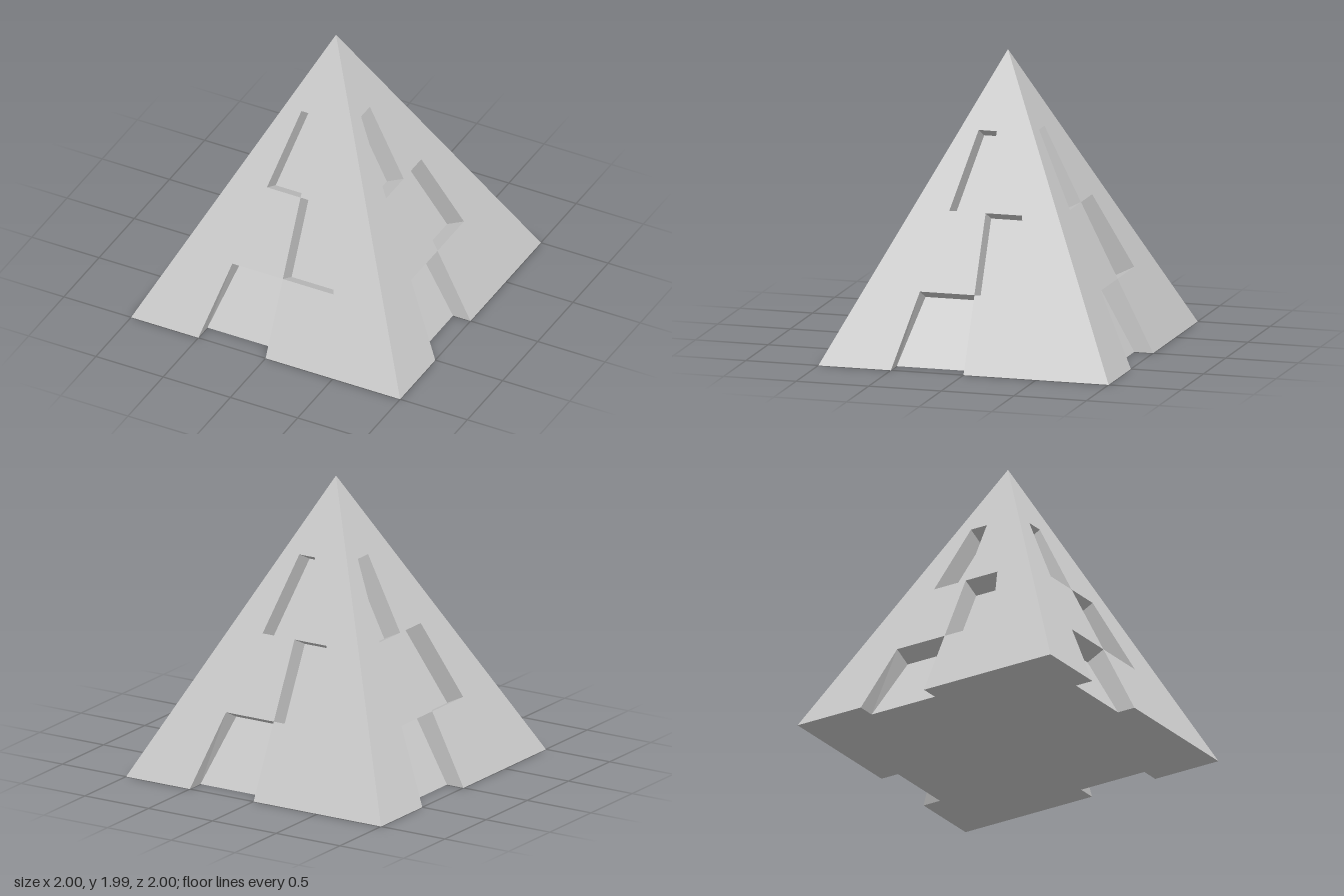
import * as THREE from 'three';
import { mergeVertices } from 'three/addons/utils/BufferGeometryUtils.js';

const H = 1.987;                 // apex height
const L1 = 0.487, L2 = 0.987, L3 = 1.487; // step levels of the recesses
const NOTCH = 0.87;              // distance of the notch floor from the centre at the base

const material = new THREE.MeshStandardMaterial({ color: 0xcccccc, flatShading: true });

// Point on the sloping front face
const onFace = ([x, y]) => [x, y, 1 - y / H];

// The same point pushed in square to the face (base points stay on the ground)
const inside = ([x, y]) => {
  const z = 1 - y / H;
  return y === 0 ? [x, 0, NOTCH] : [x, y - 0.0625, z - 0.125];
};

const flatShape = (points) =>
  new THREE.ShapeGeometry(new THREE.Shape(points.map(([x, y]) => new THREE.Vector2(x, y))));

function part(name, geometry) {
  const mesh = new THREE.Mesh(geometry, material);
  mesh.name = name;
  return mesh;
}

// Flat outline laid onto the sloping face
function skin(name, points) {
  const geometry = flatShape(points);
  const pos = geometry.attributes.position;
  for (let i = 0; i < pos.count; i++) pos.setXYZ(i, ...onFace([pos.getX(i), pos.getY(i)]));
  geometry.deleteAttribute('uv');
  geometry.deleteAttribute('normal');
  const merged = mergeVertices(geometry);
  merged.computeVertexNormals();
  return part(name, merged);
}

// Floor and side walls of a recess; corners run counter-clockwise
function recess(name, corners) {
  const verts = [];
  const quad = (a, b, c, d) => verts.push(...a, ...b, ...c, ...a, ...c, ...d);
  quad(...corners.map(inside));
  corners.forEach((p, i) => {
    const q = corners[(i + 1) % corners.length];
    if (p[1] === 0 && q[1] === 0) return; // open at the ground
    quad(onFace(p), onFace(q), inside(q), inside(p));
  });
  const geometry = new THREE.BufferGeometry();
  geometry.setAttribute('position', new THREE.Float32BufferAttribute(verts, 3));
  geometry.computeVertexNormals();
  return part(name, geometry);
}

// One side of the pyramid: two skin halves and three staggered recesses
function createSide() {
  const side = new THREE.Group();
  side.add(
    skin('faceRightHalf', [
      [-1, 0], [-0.5, 0], [-0.375, L1], [0, L1], [0, L2],
      [-0.25, L2], [-0.125, L3], [0, L3], [0, H],
    ]),
    skin('faceLeftHalf', [
      [0, 0], [1, 0], [0, H], [0, L2], [0.25, L2], [0.375, L1], [0, L1],
    ]),
    recess('lowerRecess', [[-0.5, 0], [0, 0], [0, L1], [-0.375, L1]]),
    recess('middleRecess', [[0, L1], [0.375, L1], [0.25, L2], [0, L2]]),
    recess('upperRecess', [[-0.25, L2], [0, L2], [0, L3], [-0.125, L3]]),
  );
  return side;
}

// Underside with a notch in each edge
function createBase() {
  const points = [];
  let edge = [[-1, 1], [-0.5, 1], [-0.5, NOTCH], [0, NOTCH], [0, 1]];
  for (let i = 0; i < 4; i++) {
    points.push(...edge);
    edge = edge.map(([x, z]) => [z, -x]);
  }
  return part('base', flatShape(points).rotateX(Math.PI / 2));
}

export function createModel() {
  const model = new THREE.Group();
  model.name = 'notchedPyramid';
  ['frontSide', 'leftSide', 'backSide', 'rightSide'].forEach((name, i) => {
    const side = createSide();
    side.name = name;
    side.rotation.y = (i * Math.PI) / 2;
    model.add(side);
  });
  model.add(createBase());
  return model;
}
